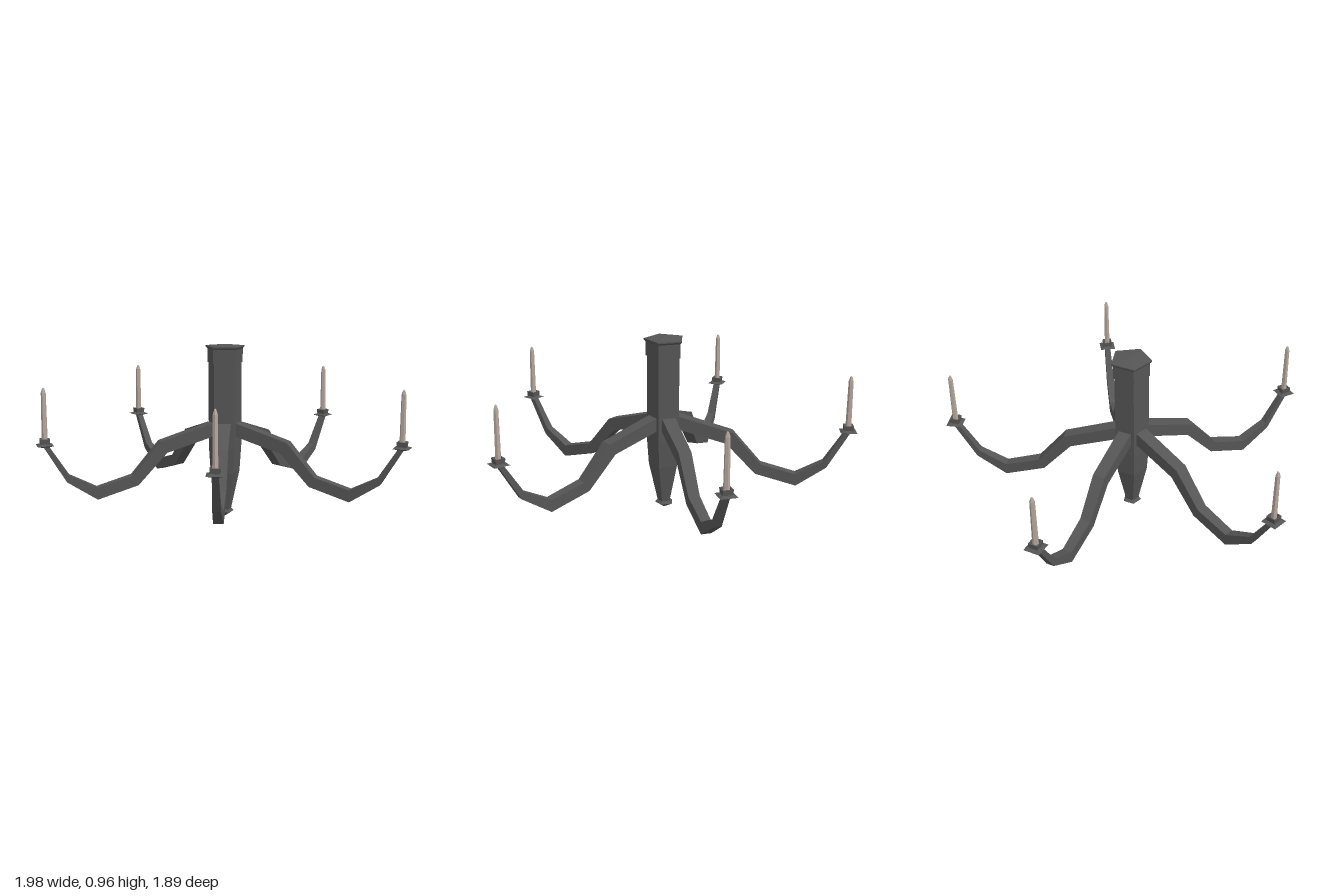
import * as THREE from 'three';

const iron = new THREE.MeshStandardMaterial({ color: 0x555555, flatShading: true });
const wax = new THREE.MeshStandardMaterial({ color: 0xb5a79c, flatShading: true });

// Faceted turned part: profile of [radius, y], listed from bottom to top
function turned(name, profile, sides, material, turn = 0) {
  const points = profile.map(([r, y]) => new THREE.Vector2(r, y));
  const mesh = new THREE.Mesh(new THREE.LatheGeometry(points, sides), material);
  mesh.name = name;
  mesh.rotation.y = turn;
  return mesh;
}

// Tapered rectangular bar running outward along +z
// Each section: [top z, top y, bottom z, bottom y, half width]
function armGeometry(sections) {
  const pos = [];
  const index = [];
  sections.forEach(([tz, ty, bz, by, w]) => {
    pos.push(w, ty, tz, -w, ty, tz, -w, by, bz, w, by, bz);
  });
  for (let k = 0; k < sections.length - 1; k++) {
    for (let c = 0; c < 4; c++) {
      const a = k * 4 + c;
      const b = k * 4 + (c + 1) % 4;
      index.push(a, b, a + 4, b, b + 4, a + 4);
    }
  }
  const e = (sections.length - 1) * 4;
  index.push(e, e + 1, e + 2, e, e + 2, e + 3, 0, 2, 1, 0, 3, 2);
  const g = new THREE.BufferGeometry();
  g.setAttribute('position', new THREE.Float32BufferAttribute(pos, 3));
  g.setIndex(index);
  const flat = g.toNonIndexed();
  flat.computeVertexNormals();
  return flat;
}

export function createModel() {
  const model = new THREE.Group();
  model.name = 'chandelier';
  const body = new THREE.Group();
  body.name = 'body';
  body.position.z = -0.085;
  model.add(body);

  // Five-sided centre column, cap and bottom finial
  body.add(turned('column', [[0, 0.04], [0.035, 0.04], [0.085, 0.26], [0.095, 0.4], [0.095, 0.88]], 5, iron, Math.PI));
  body.add(turned('cap', [[0.09, 0.865], [0.102, 0.865], [0.102, 0.94], [0.112, 0.95], [0.112, 0.957], [0, 0.967]], 5, iron, Math.PI));
  body.add(turned('finial', [[0, 0.004], [0.052, 0.033], [0.034, 0.05], [0, 0.05]], 5, iron, Math.PI));

  // Shared arm shape
  const arm = armGeometry([
    [0.04, 0.549, 0.04, 0.475, 0.037],
    [0.368, 0.447, 0.333, 0.386, 0.034],
    [0.522, 0.268, 0.492, 0.215, 0.03],
    [0.712, 0.213, 0.714, 0.148, 0.026],
    [0.86, 0.288, 0.876, 0.252, 0.021],
    [0.97, 0.457, 1.0, 0.457, 0.016],
  ]);

  // Five arms, each with a drip dish and candle
  for (let i = 0; i < 5; i++) {
    const branch = new THREE.Group();
    branch.name = 'branch' + (i + 1);
    branch.rotation.y = i * Math.PI * 2 / 5;
    const bar = new THREE.Mesh(arm, iron);
    bar.name = 'arm';
    branch.add(bar);

    const holder = new THREE.Group();
    holder.name = 'candleHolder';
    holder.position.z = 0.985;
    holder.add(turned('dripDish', [
      [0, 0.445], [0.024, 0.445], [0.061, 0.455], [0.034, 0.463], [0.037, 0.489], [0.028, 0.489], [0.022, 0.472], [0, 0.472],
    ], 4, iron, Math.PI / 4));
    holder.add(turned('candle', [[0.016, 0.468], [0.013, 0.735], [0.006, 0.757], [0, 0.762]], 6, wax));
    branch.add(holder);
    body.add(branch);
  }
  return model;
}
